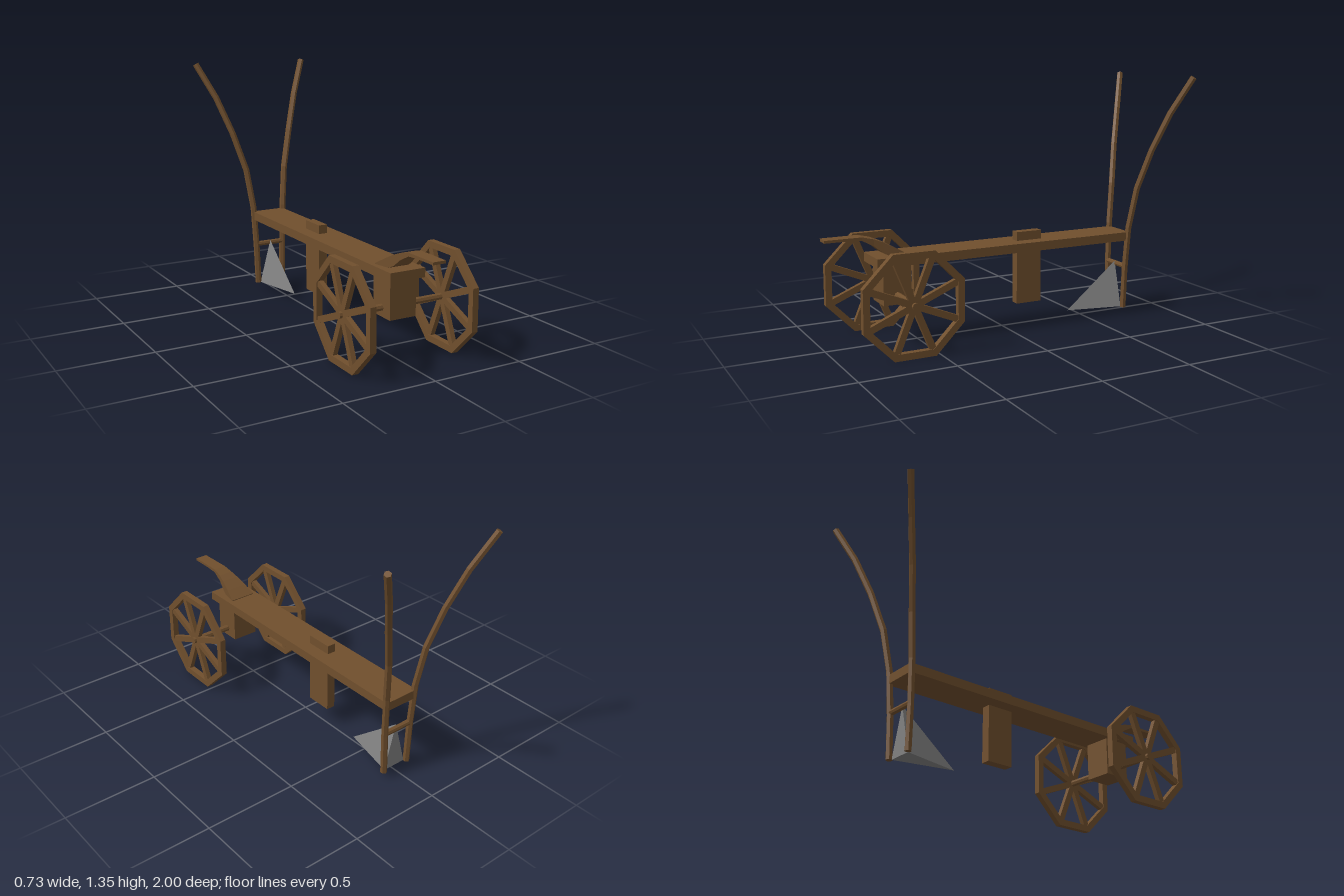
import * as THREE from 'three';

const wood = new THREE.MeshStandardMaterial({ color: 0x704f2d, flatShading: true });
wood.name = 'brown wood';
const iron = new THREE.MeshStandardMaterial({ color: 0x808080, flatShading: true });
iron.name = 'grey iron';

const AXLE_Y = 0.27, AXLE_Z = 0.637;

function add(parent, name, geometry, material = wood) {
  const mesh = new THREE.Mesh(geometry, material);
  mesh.name = name;
  parent.add(mesh);
  return mesh;
}

// Box given by its limits on each axis
function box(parent, name, [x0, x1], [y0, y1], [z0, z1]) {
  const mesh = add(parent, name, new THREE.BoxGeometry(x1 - x0, y1 - y0, z1 - z0));
  mesh.position.set((x0 + x1) / 2, (y0 + y1) / 2, (z0 + z1) / 2);
  return mesh;
}

// Round bar lying along x
function crossBar(parent, name, length, radius, y, z) {
  const mesh = add(parent, name, new THREE.CylinderGeometry(radius, radius, length, 8));
  mesh.rotation.z = Math.PI / 2;
  mesh.position.set(0, y, z);
  return mesh;
}

function octagon(apothem, Type) {
  const r = apothem / Math.cos(Math.PI / 8);
  const points = [];
  for (let i = 0; i < 8; i++) {
    const a = (i + 0.5) * Math.PI / 4;
    points.push(new THREE.Vector2(Math.cos(a) * r, Math.sin(a) * r));
  }
  return new Type(points);
}

// Eight-sided wheel with a spoke to each corner
function createWheel(name) {
  const wheel = new THREE.Group();
  wheel.name = name;
  const width = 0.034;
  const shape = octagon(0.267, THREE.Shape);
  shape.holes.push(octagon(0.232, THREE.Path));
  const rim = new THREE.ExtrudeGeometry(shape, { depth: width, bevelEnabled: false });
  rim.translate(0, 0, -width / 2);
  rim.rotateY(Math.PI / 2);
  add(wheel, 'rim', rim);
  for (let i = 0; i < 8; i++) {
    const spoke = new THREE.BoxGeometry(0.026, 0.26, 0.034);
    spoke.translate(0, 0.13, 0);
    spoke.rotateX((i + 0.5) * Math.PI / 4);
    add(wheel, 'spoke', spoke);
  }
  return wheel;
}

// Curved tongue: rectangular sections of [z, bottom, top, half width]
function tongueGeometry() {
  const sections = [
    [0.575, 0.45, 0.477, 0.075],
    [0.64, 0.46, 0.515, 0.062],
    [0.7, 0.49, 0.546, 0.05],
    [0.745, 0.528, 0.564, 0.042],
    [0.805, 0.56, 0.579, 0.037],
    [0.88, 0.565, 0.579, 0.036],
    [1.0, 0.565, 0.579, 0.035],
  ];
  const positions = [], index = [];
  for (const [z, b, t, w] of sections) positions.push(-w, b, z, w, b, z, w, t, z, -w, t, z);
  const quad = (a, b, c, d) => index.push(a, b, c, a, c, d);
  for (let s = 0; s < sections.length - 1; s++) {
    for (let k = 0; k < 4; k++) {
      const a = s * 4 + k, b = s * 4 + (k + 1) % 4;
      quad(a, b, b + 4, a + 4);
    }
  }
  const e = (sections.length - 1) * 4;
  quad(3, 2, 1, 0);
  quad(e, e + 1, e + 2, e + 3);
  const g = new THREE.BufferGeometry();
  g.setAttribute('position', new THREE.Float32BufferAttribute(positions, 3));
  g.setIndex(index);
  g.computeVertexNormals();
  return g;
}

// Pointed share: a closed four-faced wedge
function shareGeometry() {
  const g = new THREE.BufferGeometry();
  g.setAttribute('position', new THREE.Float32BufferAttribute([
    0, 0.035, -0.415, 0.068, 0.035, -0.73, -0.068, 0.035, -0.73, 0, 0.29, -0.73,
  ], 3));
  g.setIndex([0, 1, 3, 0, 3, 2, 0, 2, 1, 1, 2, 3]);
  g.computeVertexNormals();
  return g;
}

// Bent handle with closed ends
function createHandle(side, name) {
  const handle = new THREE.Group();
  handle.name = name;
  const curve = new THREE.CatmullRomCurve3([
    [0.079, 0.035, -0.737], [0.086, 0.25, -0.74], [0.095, 0.47, -0.75], [0.123, 0.71, -0.782],
    [0.186, 0.94, -0.835], [0.26, 1.153, -0.903], [0.35, 1.345, -0.98],
  ].map(([x, y, z]) => new THREE.Vector3(side * x, y, z)));
  const radius = 0.018;
  add(handle, 'shaft', new THREE.TubeGeometry(curve, 6, radius, 6));
  for (const t of [0, 1]) {
    const cap = add(handle, 'end', new THREE.CircleGeometry(radius, 6));
    const out = curve.getTangentAt(t).multiplyScalar(t ? 1 : -1);
    cap.position.copy(curve.getPointAt(t));
    cap.quaternion.setFromUnitVectors(new THREE.Vector3(0, 0, 1), out);
  }
  return handle;
}

export function createModel() {
  const model = new THREE.Group();
  model.name = 'wheeledPlough';
  const body = new THREE.Group();
  body.name = 'plough';
  body.position.x = 0.006;
  model.add(body);

  // Beam and the blocks fixed to it
  box(body, 'beam', [-0.1, 0.1], [0.425, 0.473], [-0.76, 0.75]);
  box(body, 'axleBlock', [-0.075, 0.075], [0.222, 0.426], [0.562, 0.712]);
  box(body, 'coulter', [-0.025, 0.025], [0.123, 0.521], [-0.225, -0.076]);
  add(body, 'tongue', tongueGeometry());

  // Axle and wheels
  crossBar(body, 'axle', 0.636, 0.018, AXLE_Y, AXLE_Z);
  for (const side of [-1, 1]) {
    const wheel = createWheel(side > 0 ? 'leftWheel' : 'rightWheel');
    wheel.position.set(side * 0.29, AXLE_Y, AXLE_Z);
    body.add(wheel);
  }

  // Handles, the rung between them and the share
  for (const side of [-1, 1]) body.add(createHandle(side, side > 0 ? 'leftHandle' : 'rightHandle'));
  crossBar(body, 'rung', 0.17, 0.015, 0.275, -0.74);
  add(body, 'share', shareGeometry(), iron);

  return model;
}
